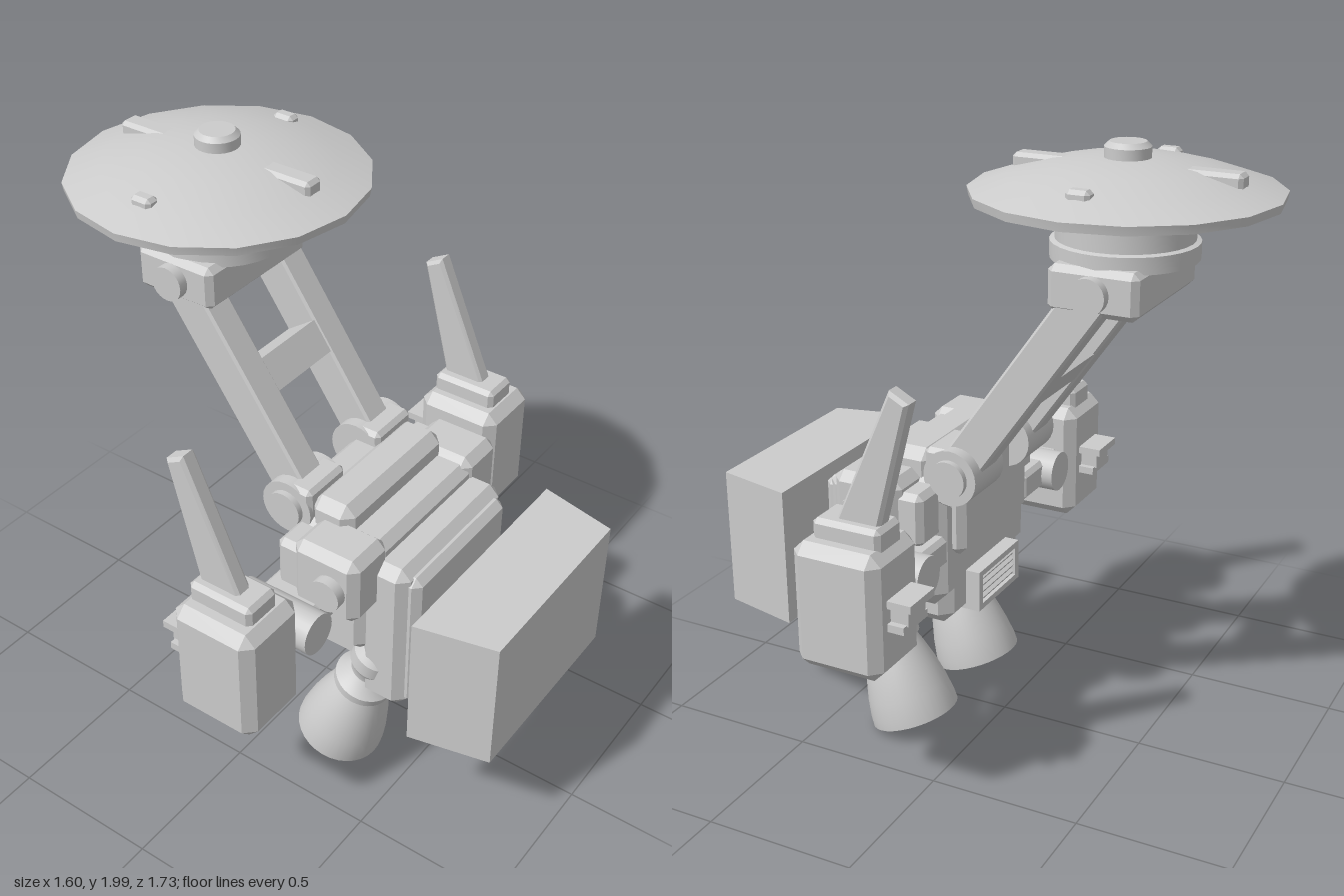
import * as THREE from 'three';
import { toCreasedNormals } from 'three/addons/utils/BufferGeometryUtils.js';
import { ConvexGeometry } from 'three/addons/geometries/ConvexGeometry.js';

const V = (a) => a.map(([x, y]) => new THREE.Vector2(x, y));

// Box between two corners with all edges chamfered by c
function chamferBox(x0, x1, y0, y1, z0, z1, c) {
  const h = [(x1 - x0) / 2, (y1 - y0) / 2, (z1 - z0) / 2];
  const pts = [];
  for (const sx of [-1, 1]) for (const sy of [-1, 1]) for (const sz of [-1, 1]) {
    for (let full = 0; full < 3; full++) {
      const e = h.map((v, i) => (i === full ? v : v - c));
      pts.push(new THREE.Vector3(sx * e[0], sy * e[1], sz * e[2]));
    }
  }
  return new ConvexGeometry(pts).translate((x0 + x1) / 2, (y0 + y1) / 2, (z0 + z1) / 2);
}

const box = (x0, x1, y0, y1, z0, z1) => new THREE.BoxGeometry(x1 - x0, y1 - y0, z1 - z0)
  .translate((x0 + x1) / 2, (y0 + y1) / 2, (z0 + z1) / 2);

// Cylinder lying along x
const axle = (r, x0, x1, y, z) => new THREE.CylinderGeometry(r, r, x1 - x0, 24)
  .rotateZ(Math.PI / 2).translate((x0 + x1) / 2, y, z);

const lathe = (pts, n) => toCreasedNormals(new THREE.LatheGeometry(V(pts), n), 0.5);

export function createModel() {
  const grey = new THREE.MeshStandardMaterial({ color: 0xcccccc });
  grey.name = 'light grey';
  const model = new THREE.Group();
  const add = (name, geo, parent = model) => {
    const m = new THREE.Mesh(geo, grey);
    m.name = name;
    parent.add(m);
    return m;
  };
  const group = (name) => {
    const g = new THREE.Group();
    g.name = name;
    model.add(g);
    return g;
  };

  // Backpack body, stepped forward in layers
  add('body', chamferBox(-0.31, 0.31, 0.5, 0.95, 0.07, 0.38, 0.05));
  add('lowerBody', chamferBox(-0.26, 0.26, 0.42, 0.62, 0.07, 0.38, 0.04));
  add('topHump', chamferBox(-0.27, 0.27, 0.8, 1.03, 0.12, 0.28, 0.035));
  add('middleLayer', chamferBox(-0.27, 0.27, 0.6, 0.95, 0.25, 0.395, 0.03));
  add('frontSlab', chamferBox(-0.29, 0.29, 0.33, 0.9, 0.33, 0.5, 0.035));
  add('frontPanel', chamferBox(-0.26, 0.26, 0.35, 0.87, 0.45, 0.53, 0.025));
  add('backPlate', chamferBox(-0.23, 0.23, 0.67, 1.0, 0.03, 0.2, 0.025));

  // Rear vent with louvres
  const vent = group('vent');
  for (const s of [-1, 1]) {
    add('ventSide', box(s * 0.13 - 0.012, s * 0.13 + 0.012, 0.44, 0.58, 0.02, 0.12), vent);
    add('ventEdge', box(-0.13, 0.13, 0.51 + s * 0.06 - 0.01, 0.51 + s * 0.06 + 0.01, 0.02, 0.12), vent);
  }
  add('ventBack', box(-0.13, 0.13, 0.45, 0.57, 0.05, 0.12), vent);
  for (let i = 0; i < 4; i++) {
    const slat = add('louvre', new THREE.BoxGeometry(0.24, 0.012, 0.03), vent);
    slat.position.set(0, 0.475 + i * 0.024, 0.042);
    slat.rotation.x = -0.5;
  }

  // Tapered block ahead of the pack
  const plug = new THREE.BoxGeometry(0.8, 0.47, 0.265).translate(0, 0.615, 0.73);
  const pos = plug.attributes.position;
  for (let i = 0; i < pos.count; i++) {
    if (pos.getZ(i) > 0.73) pos.setX(i, Math.sign(pos.getX(i)) * 0.34);
  }
  plug.computeVertexNormals();
  add('mountingBlock', plug);

  const nozzleProfile = [
    [0, 0.22], [0.065, 0.22], [0.105, 0.14], [0.125, 0.07], [0.138, 0], [0.148, 0], [0.147, 0.03],
    [0.138, 0.09], [0.122, 0.16], [0.1, 0.23], [0.085, 0.27], [0.1, 0.275], [0.102, 0.305],
    [0.08, 0.325], [0.062, 0.35], [0.066, 0.375], [0.08, 0.4], [0.08, 0.45], [0.06, 0.48], [0, 0.49],
  ];
  const fin = new THREE.ExtrudeGeometry(
    new THREE.Shape(V([[0.07, 0.92], [0.205, 0.92], [0.002, 1.377], [-0.043, 1.353]])),
    { depth: 0.04, bevelSize: 0.011, bevelThickness: 0.011, bevelSegments: 1 },
  ).translate(0, 0, -0.02).rotateY(-Math.PI / 2);

  for (const s of [-1, 1]) {
    const side = s > 0 ? 'left' : 'right';
    const span = (a, b) => (s > 0 ? [a, b] : [-b, -a]);

    // Shoulder block with round cap
    add(side + 'Shoulder', chamferBox(...span(0.22, 0.41), 0.73, 0.97, 0.16, 0.4, 0.03));
    add(side + 'ShoulderRear', chamferBox(...span(0.22, 0.39), 0.75, 0.93, 0.09, 0.2, 0.02));
    add(side + 'ShoulderCap', axle(0.055, ...span(0.4, 0.445), 0.845, 0.31));

    // Hinge barrel and link to the pod
    const barrel = new THREE.CylinderGeometry(0.07, 0.07, 0.29, 24).rotateX(Math.PI / 2);
    add(side + 'HingeBarrel', barrel).position.set(s * 0.47, 0.71, 0.165);
    add(side + 'HingeLink', chamferBox(...span(0.27, 0.58), 0.66, 0.76, 0.06, 0.27, 0.015));

    // Pod with collar, fin and rear clip
    const pod = group(side + 'Pod');
    add('podShell', chamferBox(...span(0.54, 0.8), 0.5, 0.91, 0.005, 0.302, 0.035), pod);
    add('podCollar', chamferBox(...span(0.6, 0.735), 0.88, 0.97, 0.03, 0.26, 0.015), pod);
    add('fin', fin, pod).position.x = s * 0.67;
    add('clipTop', box(...span(0.6, 0.74), 0.735, 0.76, -0.075, 0.02), pod);
    add('clipBody', box(...span(0.62, 0.72), 0.68, 0.74, -0.055, 0.02), pod);
    add('clipFoot', box(...span(0.6, 0.74), 0.66, 0.685, -0.05, 0.02), pod);

    // Tilted thruster
    const nozzle = add(side + 'Thruster', lathe(nozzleProfile, 32));
    nozzle.position.set(s * 0.225, 0.055, 0.223);
    nozzle.rotation.x = 0.333;

    // Lower boom pivot
    add(side + 'BoomPivot', axle(0.092, ...span(0.09, 0.28), 0.96, 0.05));
    add(side + 'PivotCap', axle(0.062, ...span(0.27, 0.3), 0.96, 0.05));
    add(side + 'PivotMount', chamferBox(...span(0.09, 0.28), 0.86, 1.05, 0.04, 0.14, 0.015));
    add(side + 'HeadPivotCap', axle(0.056, ...span(0.23, 0.272), 1.6, -0.397));
  }

  // Twin boom leaning backwards
  const boom = group('boom');
  boom.position.set(0, 0.96, 0.05);
  boom.rotation.x = -Math.atan2(0.45, 0.64);
  for (const s of [-1, 1]) {
    add('boomBeam', chamferBox(s * 0.185 - 0.053, s * 0.185 + 0.053, 0, 0.78, -0.06, 0.072, 0.008), boom);
  }
  add('boomCrossbar', box(-0.14, 0.14, 0.325, 0.44, -0.055, 0.068), boom);

  // Boom head
  add('boomHead', chamferBox(-0.24, 0.24, 1.53, 1.675, -0.54, -0.253, 0.02));

  // Radar dish on a stepped round base
  const dish = group('dish');
  dish.position.set(0, 0, -0.4);
  add('dishBase', lathe([[0, 1.66], [0.225, 1.66], [0.225, 1.712], [0.21, 1.717], [0.21, 1.79], [0, 1.79]], 32), dish);
  add('dishShell', lathe([
    [0, 1.775], [0.215, 1.775], [0.465, 1.835], [0.47, 1.862], [0.36, 1.9], [0.23, 1.935], [0.11, 1.952], [0, 1.955],
  ], 16), dish);
  add('dishKnob', lathe([[0.07, 1.93], [0.07, 1.985], [0.055, 2], [0, 2]], 24), dish);
  for (const s of [-1, 1]) {
    const [r0, r1] = s > 0 ? [0.13, 0.36] : [-0.36, -0.13];
    add('dishRib', chamferBox(-0.035, 0.035, 1.88, 1.94, r0, r1, 0.012), dish);
    const [n0, n1] = s > 0 ? [0.31, 0.36] : [-0.36, -0.31];
    add('dishNub', chamferBox(n0, n1, 1.88, 1.925, -0.037, 0.037, 0.012), dish);
  }
  return model;
}
